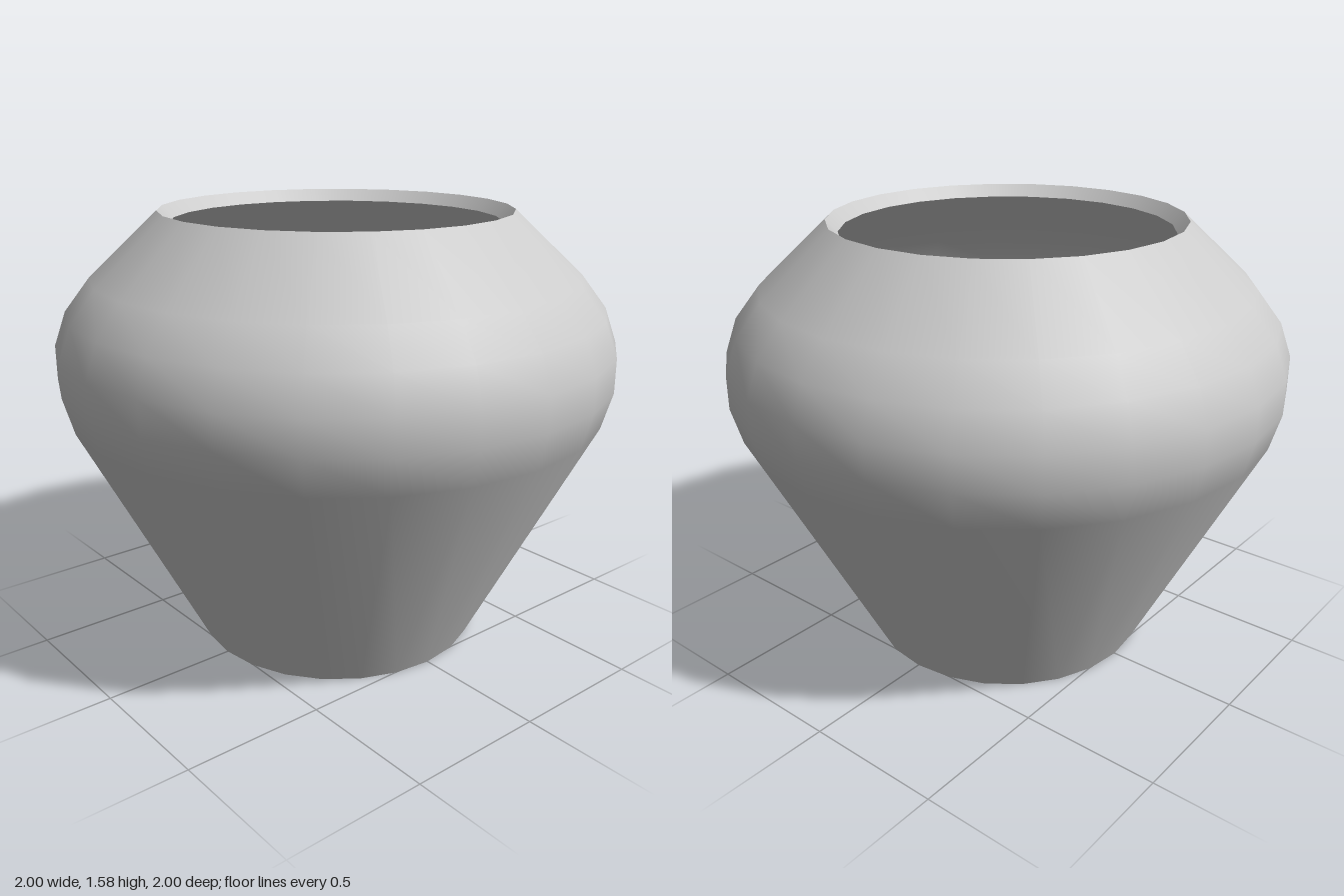
import * as THREE from 'three';

const SIDES = 24;

// Profiles as [radius, height]; each section keeps its own smooth normals,
// so the creases between sections stay sharp.
const outer = [[0.52, 0], [0.964, 0.87], [1, 1.0], [1, 1.12], [0.957, 1.24], [0.868, 1.355], [0.626, 1.58]];
const inner = [[0.585, 1.537], [0.823, 1.315], [0.902, 1.21], [0.94, 1.11], [0.94, 1.01], [0.908, 0.89], [0.487, 0.06]];

export function createModel() {
  const pot = new THREE.Group();
  pot.name = 'pot';
  const material = new THREE.MeshStandardMaterial({ color: 0xcccccc });

  const addSection = (name, profile) => {
    const points = profile.map(([r, y]) => new THREE.Vector2(r, y));
    const mesh = new THREE.Mesh(new THREE.LatheGeometry(points, SIDES), material);
    mesh.name = name;
    pot.add(mesh);
  };

  const addDisc = (name, [radius, y], facing) => {
    const disc = new THREE.Mesh(new THREE.CircleGeometry(radius, SIDES), material);
    disc.name = name;
    disc.rotation.x = -facing * Math.PI / 2;
    disc.position.y = y;
    pot.add(disc);
  };

  addDisc('base', outer[0], -1);
  addSection('outerWall', outer);
  // Lip cut square to the sloping shoulder
  addSection('rim', [outer.at(-1), inner[0]]);
  addSection('innerWall', inner);
  addDisc('floor', inner.at(-1), 1);

  return pot;
}
